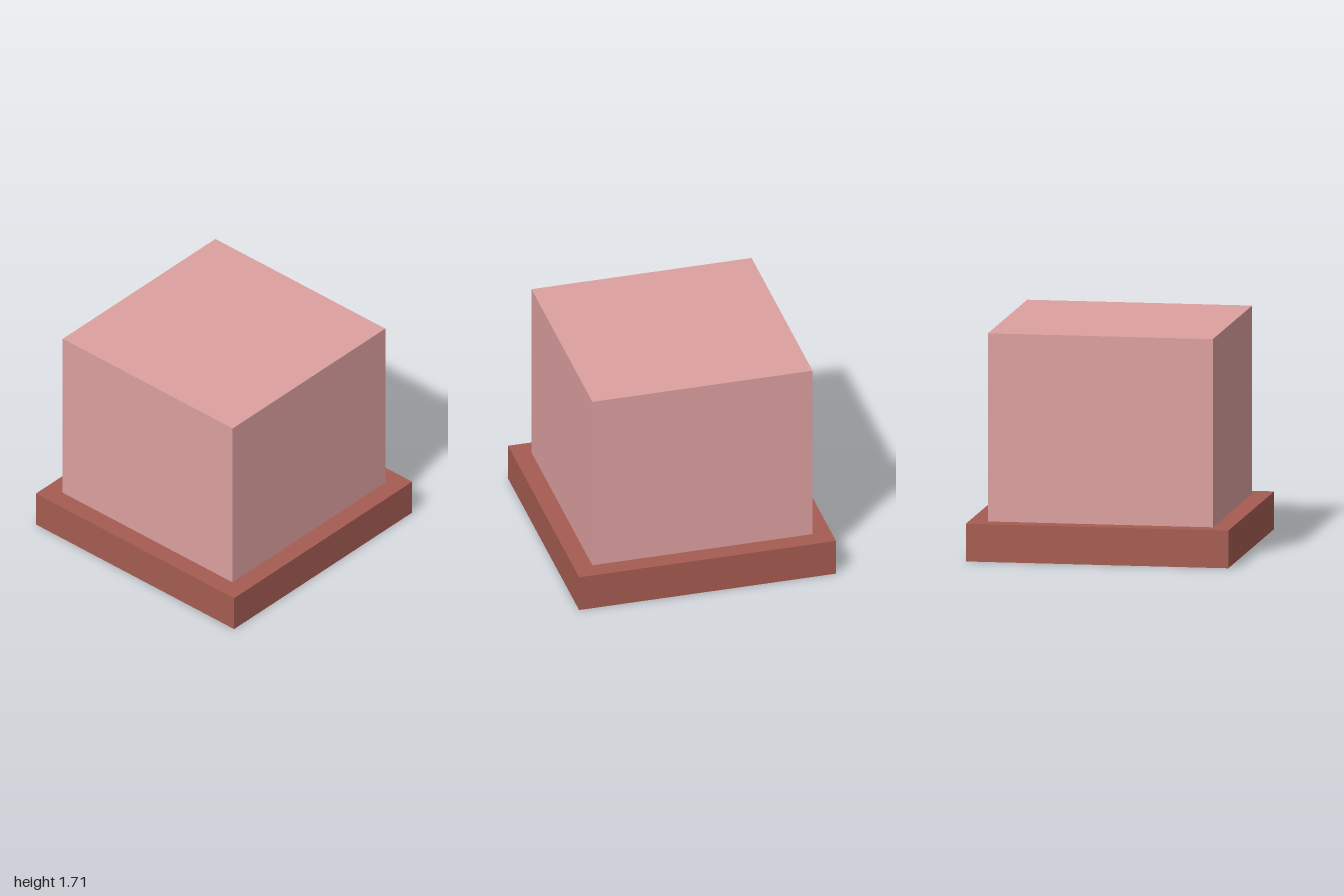
import * as THREE from 'three';

const CUBE = 1.714; // edge of the block
const BASE = 2; // outer width of the base frame
const BASE_HEIGHT = 0.286;

// Square outline centred on the origin
function square(PathType, size) {
  const h = size / 2;
  return new PathType([[-h, -h], [h, -h], [h, h], [-h, h]].map(([x, y]) => new THREE.Vector2(x, y)));
}

export function createModel() {
  const model = new THREE.Group();

  // Block standing inside the frame, flush with its underside
  const block = new THREE.Mesh(
    new THREE.BoxGeometry(CUBE, CUBE, CUBE),
    new THREE.MeshStandardMaterial({ color: 0xdca09f })
  );
  block.name = 'block';
  block.position.y = CUBE / 2;
  model.add(block);

  // Square frame around the foot of the block
  const outline = square(THREE.Shape, BASE);
  outline.holes.push(square(THREE.Path, CUBE));
  const frameGeometry = new THREE.ExtrudeGeometry(outline, { depth: BASE_HEIGHT, bevelEnabled: false });
  frameGeometry.rotateX(-Math.PI / 2);
  const frame = new THREE.Mesh(frameGeometry, new THREE.MeshStandardMaterial({ color: 0xa55c52 }));
  frame.name = 'baseFrame';
  model.add(frame);

  return model;
}
